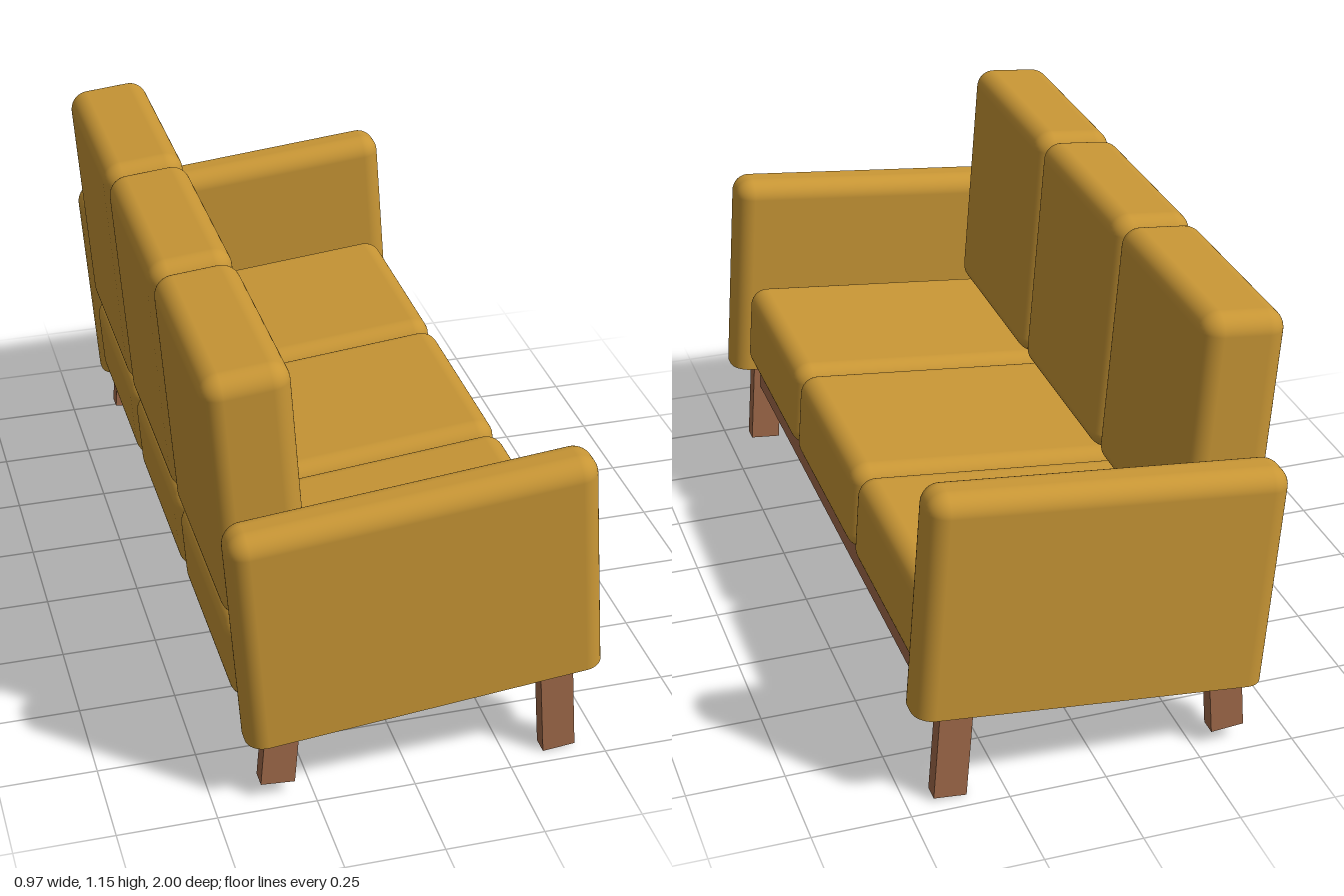
import * as THREE from 'three';
import { RoundedBoxGeometry } from 'three/addons/geometries/RoundedBoxGeometry.js';

const fabric = new THREE.MeshStandardMaterial({ color: 0xc89635 });
const wood = new THREE.MeshStandardMaterial({ color: 0xa06a4a });

// Tilted frame of the sofa: a runs back to front, b runs up, z runs along its length.
const A = THREE.MathUtils.degToRad(5.6);
const B = THREE.MathUtils.degToRad(4.2);
const tilt = new THREE.Matrix4().set(
  Math.cos(A), -Math.sin(B), 0, -0.418,
  Math.sin(A), Math.cos(B), 0, 0.183,
  0, 0, 1, 0,
  0, 0, 0, 1
);

function place(geometry, a0, a1, b0, b1, z) {
  return geometry.translate((a0 + a1) / 2, (b0 + b1) / 2, z).applyMatrix4(tilt);
}

function part(group, name, geometry, material) {
  const mesh = new THREE.Mesh(geometry, material);
  mesh.name = name;
  group.add(mesh);
  return mesh;
}

function cushion(a0, a1, b0, b1, z, width, r) {
  return place(new RoundedBoxGeometry(a1 - a0, b1 - b0, width, 6, r), a0, a1, b0, b1, z);
}

// Rounded box whose underside is cut flat
function armGeometry(length, height, width, r, z) {
  const g = new RoundedBoxGeometry(length, height + r, width, 6, r);
  g.translate(0, -r / 2, 0);
  const p = g.attributes.position, n = g.attributes.normal;
  const floor = -height / 2;
  for (let i = 0; i < p.count; i += 3) {
    let low = 0;
    for (let k = i; k < i + 3; k++) {
      if (p.getY(k) < floor + 1e-5) {
        p.setY(k, floor);
        low++;
      }
    }
    if (low === 3) for (let k = i; k < i + 3; k++) n.setXYZ(k, 0, -1, 0);
  }
  return place(g, 0, length, 0, height, z);
}

export function createModel() {
  const sofa = new THREE.Group();
  sofa.name = 'sofa';

  // Three seat cushions with a back cushion on each
  for (const z of [-0.58, 0, 0.58]) {
    part(sofa, 'seatCushion', cushion(0, 0.873, 0.037, 0.286, z, 0.577, 0.05), fabric);
    part(sofa, 'backCushion', cushion(0, 0.217, 0.286, 0.952, z, 0.577, 0.05), fabric);
  }

  for (const side of [-1, 1]) {
    // Arm
    part(sofa, 'arm', armGeometry(0.907, 0.599, 0.128, 0.05, side * 0.936), fabric);

    // Front leg follows the tilt
    const front = new THREE.BoxGeometry(0.084, 0.276, 0.045);
    part(sofa, 'frontLeg', place(front, 0.751, 0.835, -0.256, 0.02, side * 0.937), wood);

    // Back leg splays backwards
    const back = new THREE.BoxGeometry(0.086, 0.18, 0.045).translate(0, 0.09, 0);
    const leg = part(sofa, 'backLeg', back, wood);
    leg.position.set(-0.339, 0.043, side * 0.937);
    leg.rotation.z = -THREE.MathUtils.degToRad(4.5);
  }

  // Front rail between the front legs
  const rail = new THREE.BoxGeometry(0.04, 0.125, 1.84);
  part(sofa, 'frontRail', place(rail, 0.775, 0.815, -0.08, 0.045, 0), wood);

  return sofa;
}
